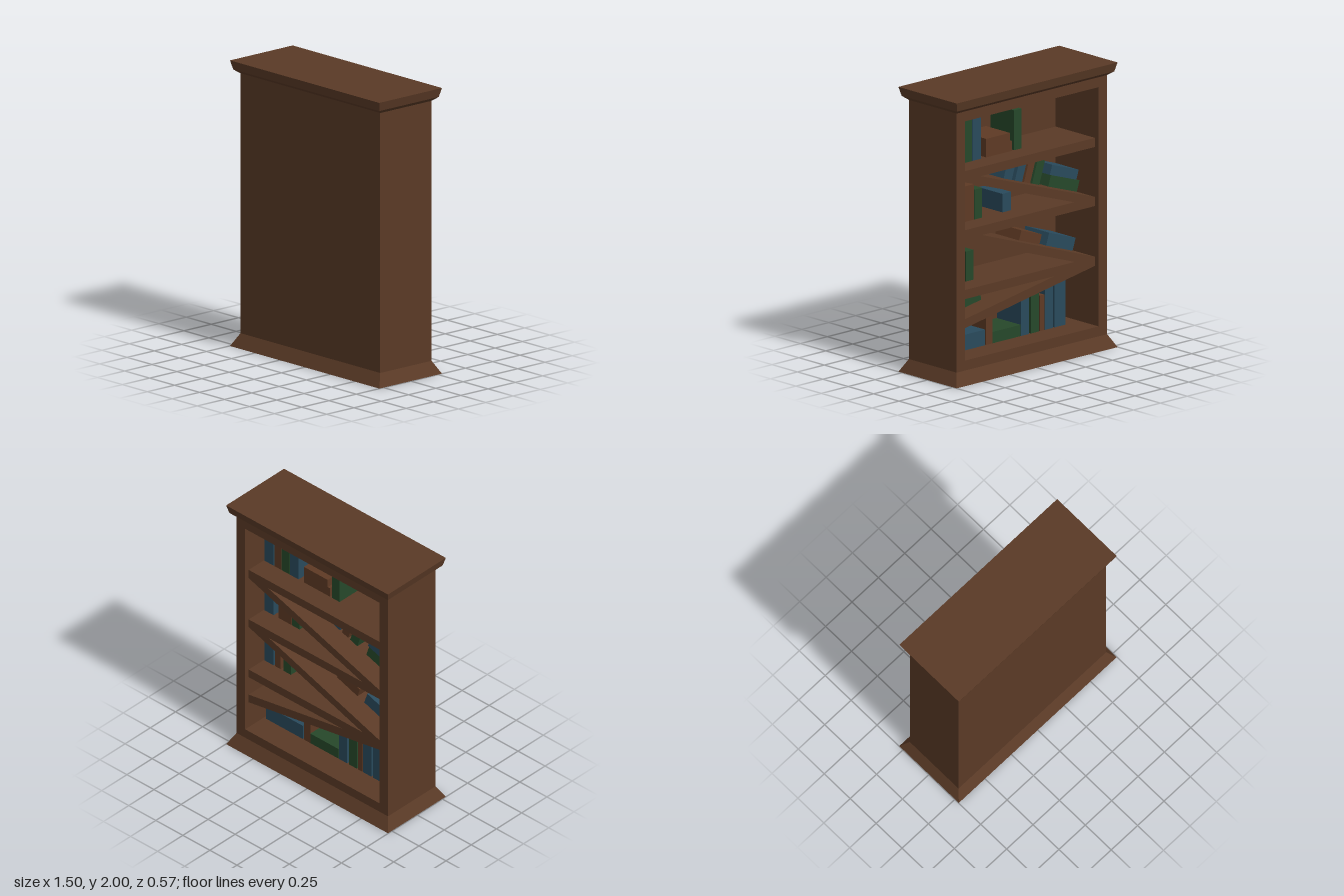
import * as THREE from 'three';

const mat = (name, color) => {
  const m = new THREE.MeshStandardMaterial({ color });
  m.name = name;
  return m;
};

export function createModel() {
  const model = new THREE.Group();
  model.name = 'bookcase';
  const wood = mat('wood', 0x5a3a26);
  const blue = mat('blueCover', 0x294a5c);
  const green = mat('greenCover', 0x26482a);
  const brown = mat('brownCover', 0x5e3a24);

  const add = (parent, name, geometry, material) => {
    const mesh = new THREE.Mesh(geometry, material);
    mesh.name = name;
    parent.add(mesh);
    return mesh;
  };

  // Box whose bottom and top rectangles have different half sizes
  const frustum = (name, y0, [x0, z0], y1, [x1, z1]) => {
    const g = new THREE.BoxGeometry(2, 2, 2);
    const p = g.attributes.position;
    for (let i = 0; i < p.count; i++) {
      const up = p.getY(i) > 0;
      p.setXYZ(i, p.getX(i) * (up ? x1 : x0), up ? y1 : y0, p.getZ(i) * (up ? z1 : z0));
    }
    g.computeVertexNormals();
    add(model, name, g, wood);
  };
  frustum('plinth', 0, [0.748, 0.287], 0.09, [0.70, 0.235]);
  frustum('corniceUnderside', 1.91, [0.70, 0.235], 1.937, [0.732, 0.272]);
  frustum('corniceTop', 1.937, [0.732, 0.272], 2, [0.748, 0.287]);

  // Case: hollow frame closed by a panel on the +z side
  const rect = (path, x, y0, y1) =>
    path.moveTo(-x, y0).lineTo(x, y0).lineTo(x, y1).lineTo(-x, y1).closePath();
  const outline = rect(new THREE.Shape(), 0.70, 0.09, 1.91);
  outline.holes.push(rect(new THREE.Path(), 0.62, 0.16, 1.84));
  const frame = new THREE.ExtrudeGeometry(outline, { depth: 0.422, bevelEnabled: false });
  add(model, 'caseFrame', frame.translate(0, 0, -0.235), wood);
  add(model, 'closedPanel', new THREE.BoxGeometry(1.4, 1.82, 0.048).translate(0, 1, 0.211), wood);

  // Zigzag of level and slanted shelves, given by end heights at +x and -x
  const shelfY = (shelf, x) => shelf[1] + (shelf[0] - shelf[1]) * (x + 0.62) / 1.24;
  const T = 0.064;
  const shelves = {
    top: [1.445, 1.445], upperSlant: [1.44, 1.03],
    middle: [1.03, 1.03], lowerSlant: [1.03, 0.61],
    low: [0.61, 0.61], bottomSlant: [0.40, 0.61],
  };
  for (const [name, s] of Object.entries(shelves)) {
    const g = new THREE.BoxGeometry(1.24, T, 0.387);
    const p = g.attributes.position;
    for (let i = 0; i < p.count; i++) p.setY(i, p.getY(i) + shelfY(s, p.getX(i)));
    g.computeVertexNormals();
    add(model, name + 'Shelf', g.translate(0, 0, -0.0065), wood);
  }
  shelves.floor = [0.16 - T / 2, 0.16 - T / 2];

  // Books: [cover, x centre, width, height, lift above shelf, depth]
  const rows = {
    top: [
      [blue, 0.572, 0.084, 0.34], [brown, 0.492, 0.06, 0.27], [green, 0.42, 0.074, 0.31],
      [blue, 0.338, 0.078, 0.32], [brown, 0.13, 0.24, 0.07], [brown, 0.14, 0.22, 0.06, 0.07],
      [green, -0.045, 0.07, 0.28],
    ],
    upperSlant: [
      [blue, 0.06, 0.08, 0.1], [blue, -0.04, 0.07, 0.15], [brown, -0.12, 0.06, 0.16],
      [green, -0.2, 0.07, 0.17], [green, -0.45, 0.28, 0.08], [blue, -0.43, 0.26, 0.07, 0.08],
    ],
    middle: [
      [blue, 0.572, 0.084, 0.29], [brown, 0.425, 0.12, 0.25], [green, 0.325, 0.07, 0.21],
      [blue, 0.06, 0.08, 0.13],
    ],
    lowerSlant: [[brown, -0.14, 0.2, 0.07], [blue, -0.42, 0.26, 0.09]],
    low: [[blue, 0.572, 0.084, 0.29], [brown, 0.49, 0.05, 0.24], [green, 0.405, 0.07, 0.21]],
    bottomSlant: [[blue, 0.572, 0.08, 0.12], [green, 0.4, 0.22, 0.06]],
    floor: [
      [blue, 0.43, 0.34, 0.11], [brown, 0.22, 0.06, 0.24], [green, 0.06, 0.26, 0.08],
      [blue, -0.112, 0.075, 0.27], [green, -0.202, 0.075, 0.27], [brown, -0.27, 0.04, 0.25],
      [blue, -0.335, 0.075, 0.3], [blue, -0.437, 0.1, 0.32],
    ],
  };
  for (const [name, books] of Object.entries(rows)) {
    const s = shelves[name];
    const row = new THREE.Group();
    row.name = name + 'Books';
    model.add(row);
    const tilt = Math.atan2(s[0] - s[1], 1.24);
    for (const [cover, x, w, h, lift = 0, depth = 0.235] of books) {
      const g = new THREE.BoxGeometry(w, h, depth).translate(0, T / 2 + lift + h / 2, 0);
      const book = add(row, 'book', g, cover);
      book.position.set(x, shelfY(s, x), 0.185 - depth / 2);
      book.rotation.z = tilt;
    }
  }
  return model;
}
